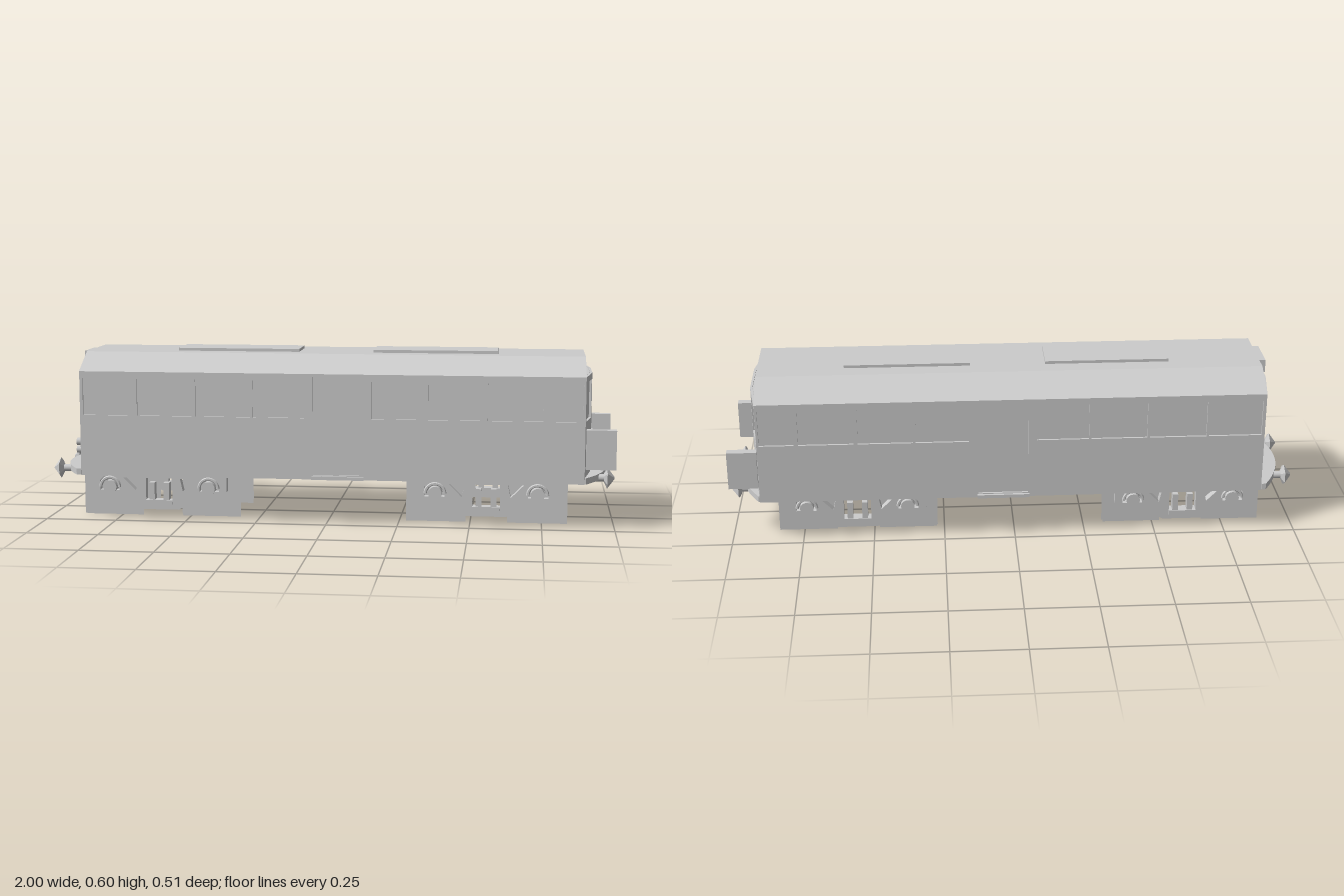
import * as THREE from 'three';

const mat = new THREE.MeshStandardMaterial({ color: 0xcccccc, flatShading: true, side: THREE.DoubleSide });
const smooth = new THREE.MeshStandardMaterial({ color: 0xcccccc });
const SKIN = 0.008, BOTTOM = 0.16, EAVE = 0.53;
const X0 = -0.873, X1 = 0.893, HALF = 0.245; // body corners

function add(parent, name, geo, x = 0, y = 0, z = 0, m = mat) {
  const mesh = new THREE.Mesh(geo, m);
  mesh.name = name;
  mesh.position.set(x, y, z);
  parent.add(mesh);
  return mesh;
}

// box given by its limits
const block = (parent, name, x0, x1, y0, y1, z0, z1) =>
  add(parent, name, new THREE.BoxGeometry(x1 - x0, y1 - y0, z1 - z0), (x0 + x1) / 2, (y0 + y1) / 2, (z0 + z1) / 2);

const outline = pts => pts.map(([x, y]) => new THREE.Vector2(x, y));
const rect = (x0, x1, y0, y1) => outline([[x0, y0], [x1, y0], [x1, y1], [x0, y1]]);

function slab(points, holes, depth) {
  const shape = new THREE.Shape(points);
  holes.forEach(h => shape.holes.push(new THREE.Path(h)));
  return new THREE.ExtrudeGeometry(shape, { depth, bevelEnabled: false, curveSegments: 12 });
}

// cylinder along x or z
function rod(parent, name, axis, r0, r1, len, sides, x, y, z) {
  const geo = new THREE.CylinderGeometry(r1, r0, len, sides, 1, false, sides === 6 ? Math.PI / 6 : 0);
  if (axis === 'x') geo.rotateZ(-Math.PI / 2); else geo.rotateX(Math.PI / 2);
  return add(parent, name, geo, x, y, z, sides > 8 ? smooth : mat);
}

function buildBody(root) {
  const body = new THREE.Group();
  body.name = 'body';
  root.add(body);

  // inner core, seen through the window and door recesses
  const a = X0 + SKIN, b = X1 - SKIN, w = HALF - SKIN;
  const plan = outline([[a, -w], [b, -w], [b + 0.024, -0.085], [b + 0.024, 0.085], [b, w], [a, w], [a - 0.024, 0.085], [a - 0.024, -0.085]]);
  add(body, 'bodyCore', slab(plan, [], EAVE - BOTTOM).rotateX(-Math.PI / 2), 0, BOTTOM, 0);

  // side walls with windows and a central door
  const windows = [[-0.862, -0.677], [-0.668, -0.47], [-0.46, -0.265], [-0.257, -0.075],
    [0.16, 0.345], [0.355, 0.545], [0.56, 0.75], [0.765, 0.885]];
  const holes = windows.map(([x0, x1]) => rect(x0, x1, 0.375, 0.505));
  holes.push(rect(-0.045, 0.13, 0.175, 0.52));
  for (const s of [1, -1]) {
    add(body, 'sideWall', slab(rect(X0, X1, BOTTOM, EAVE), holes, SKIN), 0, 0, s > 0 ? HALF - SKIN : -HALF);
    block(body, 'doorStep', -0.05, 0.133, BOTTOM, 0.172, s > 0 ? 0.235 : -0.255, s > 0 ? 0.255 : -0.235);
  }

  // roof with chamfered sides and two raised panels
  const roof = outline([[-0.247, 0.522], [0.247, 0.522], [0.247, EAVE], [0.135, 0.59], [-0.135, 0.59], [-0.247, EAVE]]);
  add(body, 'roof', slab(roof, [], X1 - X0).rotateY(Math.PI / 2), X0, 0, 0);
  block(body, 'roofPanel', -0.55, -0.115, 0.585, 0.6, -0.073, 0.073);
  block(body, 'roofPanel', 0.15, 0.59, 0.585, 0.6, -0.073, 0.073);
  block(body, 'destinationBox', -0.898, X0 + 0.01, 0.54, 0.585, -0.068, 0.068);
}

// one shallow-bowed end, built facing +x with its corner at x = 0
function buildEnd(root, s) {
  const end = new THREE.Group();
  end.name = s > 0 ? 'leftEnd' : 'rightEnd';
  end.position.x = s > 0 ? X1 : X0;
  end.rotation.y = s > 0 ? 0 : Math.PI;
  root.add(end);

  // three wall facets in plan: start and end (x, z), then the recess limits
  const facets = [
    ['endWindowWall', 0, HALF, 0.025, 0.085, rect(0.014, 0.15, 0.375, 0.508)],
    ['endDoorWall', 0.025, 0.085, 0.025, -0.085, rect(0.03, 0.165, 0.185, 0.515)],
    ['endWindowWall', 0.025, -0.085, 0, -HALF, rect(0.018, 0.148, 0.375, 0.508)],
  ];
  for (const [name, xa, za, xb, zb, hole] of facets) {
    const angle = Math.atan2(za - zb, xb - xa);
    const wall = add(end, name, slab(rect(0, Math.hypot(xb - xa, zb - za), BOTTOM, EAVE), [hole], SKIN),
      xa - SKIN * Math.sin(angle), 0, za - SKIN * Math.cos(angle));
    wall.rotation.y = angle;
  }
  rod(end, 'doorKnob', 'x', 0.008, 0.006, 0.016, 12, 0.024, 0.322, 0.04);
  for (const y of [0.242, 0.27]) rod(end, 'lamp', 'x', 0.014, 0.013, 0.026, 16, 0.017, y, 0.178 * s);

  // curved footplate under the end
  const arc = [];
  for (let i = 0; i <= 16; i++) {
    const t = i / 8 - 1;
    arc.push([0.005 + 0.075 * (1 - t * t), t * 0.24]);
  }
  const plate = outline([[-0.01, 0.24], [-0.01, -0.24], ...arc]);
  add(end, 'footplate', slab(plate, [], 0.022).rotateX(-Math.PI / 2), s > 0 ? 0 : 0.013, BOTTOM, 0);

  // buffers with hexagonal pointed heads
  const tip = s > 0 ? 1 - X1 : 1 + X0;
  for (const z of [-0.137, 0.137]) {
    rod(end, 'bufferShank', 'x', 0.013, 0.013, tip - 0.02, 12, (tip - 0.03) / 2, 0.167, z);
    rod(end, 'bufferBack', 'x', 0.014, 0.038, 0.012, 6, tip - 0.031, 0.167, z);
    rod(end, 'bufferHead', 'x', 0.038, 0.004, 0.025, 6, tip - 0.0125, 0.167, z);
  }
}

function buildBogie(root, cx) {
  const bogie = new THREE.Group();
  bogie.name = 'bogie';
  bogie.position.x = cx;
  root.add(bogie);

  // wheelsets: square inner and outer plates either side of a round tread
  for (const x of [-0.178, 0.178]) {
    rod(bogie, 'axle', 'z', 0.02, 0.02, 0.35, 20, x, 0.105, 0);
    for (const s of [1, -1]) {
      add(bogie, 'wheelInnerPlate', new THREE.PlaneGeometry(0.21, 0.21), x, 0.105, s * 0.133);
      add(bogie, 'wheelOuterPlate', new THREE.PlaneGeometry(0.205, 0.195), x, 0.105, s * 0.161);
      rod(bogie, 'wheelTread', 'z', 0.095, 0.095, 0.026, 32, x, 0.105, s * 0.147);
    }
  }

  // side frames with triangular openings and a spring window
  const half = [[0.07, 0.033], [0.13, 0.07], [0.22, 0.08], [0.243, 0.1], [0.243, 0.162]];
  const frame = outline([...half, ...half.map(([x, y]) => [-x, y]).reverse()]);
  const holes = [rect(-0.048, 0.048, 0.06, 0.145)];
  for (const m of [1, -1]) {
    holes.push(outline([[0.075 * m, 0.145], [0.13 * m, 0.145], [0.085 * m, 0.1]]));
    holes.push(outline([[0.145 * m, 0.1], [0.145 * m, 0.135], [0.16 * m, 0.15], [0.2 * m, 0.15], [0.215 * m, 0.135], [0.215 * m, 0.1]]));
  }
  for (const s of [1, -1]) {
    add(bogie, 'sideFrame', slab(frame, holes, 0.03), 0, 0, s > 0 ? 0.17 : -0.2);
    for (const m of [1, -1]) {
      rod(bogie, 'axleBox', 'z', 0.024, 0.024, 0.042, 16, m * 0.178, 0.112, s * 0.187);
      add(bogie, 'axleBoxRing', new THREE.TorusGeometry(0.034, 0.006, 6, 16, Math.PI), m * 0.178, 0.112, s * 0.202);
      block(bogie, 'spring', m * 0.026 - 0.01, m * 0.026 + 0.01, 0.06, 0.13, s * 0.188 - 0.016, s * 0.188 + 0.016);
    }
    block(bogie, 'springPlank', -0.048, 0.048, 0.052, 0.068, s * 0.188 - 0.02, s * 0.188 + 0.02);
  }
}

export function createModel() {
  const root = new THREE.Group();
  root.name = 'railCoach';
  buildBody(root);
  buildEnd(root, 1);
  buildEnd(root, -1);
  buildBogie(root, -0.602);
  buildBogie(root, 0.557);
  // projecting side plates at one end
  for (const s of [1, -1]) block(root, 'endSidePlate', 0.897, 1, 0.21, 0.347, s * 0.219 - 0.015, s * 0.219 + 0.015);
  return root;
}
